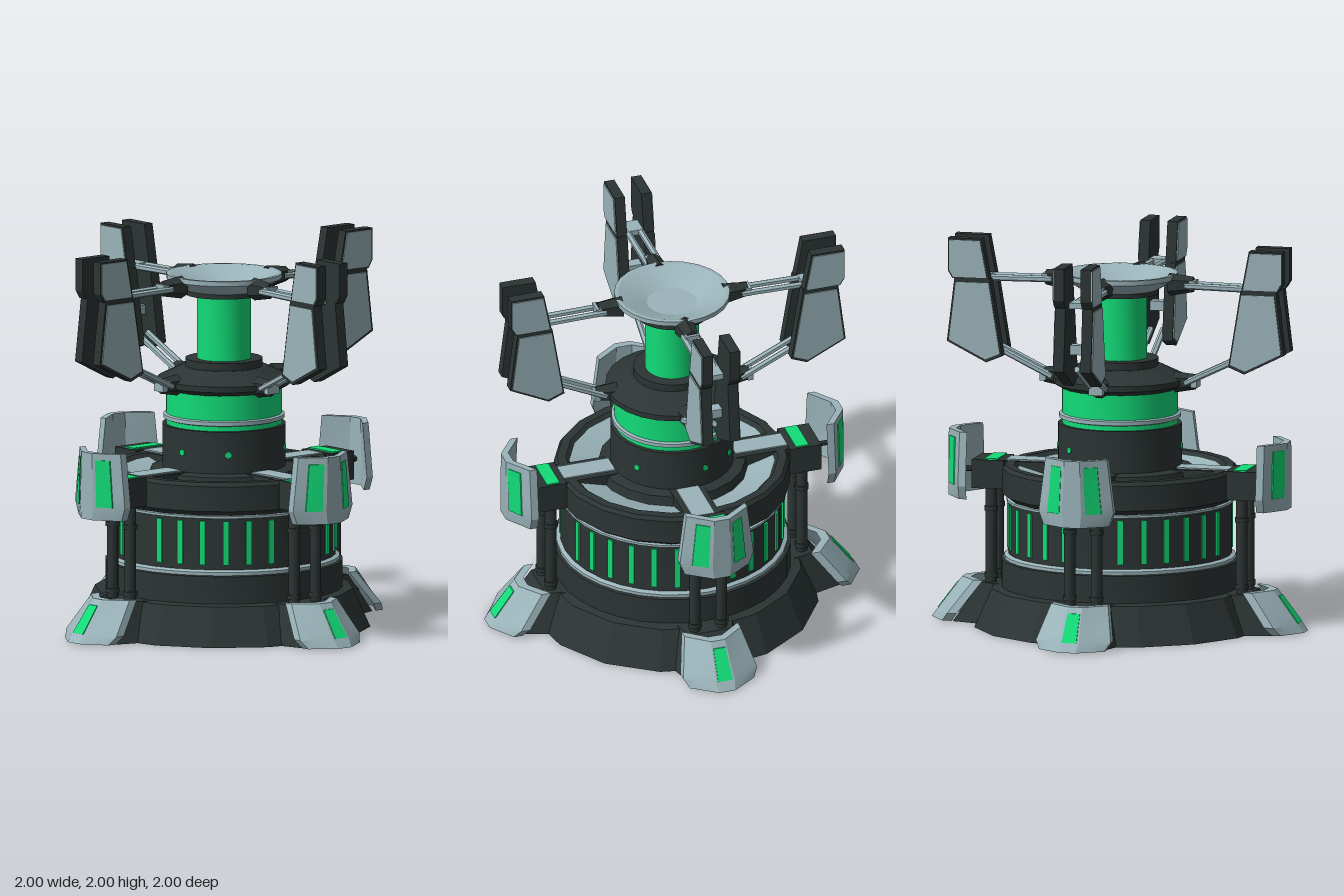
import * as THREE from 'three';
import { toCreasedNormals } from 'three/addons/utils/BufferGeometryUtils.js';

const material = (name, color) => {
  const m = new THREE.MeshStandardMaterial({ color });
  m.name = name;
  return m;
};

export function createModel() {
  const dark = material('dark metal', 0x2c3534);
  const light = material('pale metal', 0x9ab4ba);
  const green = material('green glow', 0x12dc78);
  const model = new THREE.Group();
  model.name = 'reactorTower';

  const add = (parent, name, geometry, mat) => {
    const mesh = new THREE.Mesh(geometry, mat);
    mesh.name = name;
    parent.add(mesh);
    return mesh;
  };
  const box = (parent, name, mat, size, pos) =>
    add(parent, name, new THREE.BoxGeometry(...size).translate(...pos), mat);
  // turned part from [radius, height] pairs, listed from bottom to top
  const turned = (name, mat, profile, sides = 32) => {
    const g = new THREE.LatheGeometry(profile.map(p => new THREE.Vector2(...p)), sides);
    return add(model, name, toCreasedNormals(g, 0.35), mat);
  };
  const rod = (parent, name, mat, a, b, r0, r1 = r0, sides = 6) => {
    const from = new THREE.Vector3(...a), to = new THREE.Vector3(...b);
    const dir = to.clone().sub(from);
    const g = toCreasedNormals(new THREE.CylinderGeometry(r1, r0, dir.length(), sides), 0.9);
    const mesh = add(parent, name, g, mat);
    mesh.position.copy(from).add(to).multiplyScalar(0.5);
    mesh.quaternion.setFromUnitVectors(new THREE.Vector3(0, 1, 0), dir.normalize());
    return mesh;
  };

  // central tower, bottom to top
  turned('base', dark, [[0, 0], [0.76, 0], [0.67, 0.2], [0.6, 0.21]], 16);
  turned('lowerDrum', dark, [[0.615, 0.2], [0.615, 0.35], [0.57, 0.36]]);
  turned('lowerTrim', light, [[0.6, 0.35], [0.6, 0.37], [0.57, 0.385]]);
  turned('slitDrum', dark, [[0.58, 0.36], [0.58, 0.66]]);
  turned('upperTrim', light, [[0.57, 0.645], [0.588, 0.65], [0.588, 0.662], [0.57, 0.665]]);
  turned('deckRim', dark, [[0.57, 0.66], [0.61, 0.69], [0.61, 0.82], [0.595, 0.84], [0.55, 0.84], [0.53, 0.82]], 20);
  turned('deckPanel', light, [[0.53, 0.82], [0.39, 0.78]], 20);
  turned('deckInner', dark, [[0.39, 0.78], [0.38, 0.83], [0.32, 0.84]], 20);
  turned('neck', dark, [[0.32, 0.76], [0.32, 1.06], [0.29, 1.06]]);
  turned('glowBand', green, [[0.3, 1.06], [0.3, 1.25]]);
  turned('glowBandRing', light, [[0.3, 1.085], [0.315, 1.09], [0.315, 1.11], [0.3, 1.115]]);
  turned('shoulder', dark, [[0, 1.245], [0.3, 1.245], [0.345, 1.27], [0.345, 1.3], [0.22, 1.36], [0, 1.36]], 24);
  turned('columnFoot', dark, [[0.2, 1.35], [0.2, 1.4], [0.13, 1.4]]);
  turned('glowColumn', green, [[0.14, 1.39], [0.14, 1.75]]);
  turned('columnCap', dark, [[0.13, 1.73], [0.2, 1.735], [0.2, 1.76]]);
  turned('dish', light, [[0.19, 1.755], [0.21, 1.765], [0.3, 1.82], [0.3, 1.845], [0.28, 1.845], [0.2, 1.815], [0.13, 1.785], [0, 1.785]], 24);

  // glowing slits round the drum
  for (let quadrant = 0; quadrant < 4; quadrant++) {
    for (let i = 0; i < 6; i++) {
      const slit = box(model, 'drumSlit', green, [0.03, 0.23, 0.009], [0, 0.52, 0.581]);
      slit.rotation.y = THREE.MathUtils.degToRad(quadrant * 90 + 15 + i * 12);
    }
  }
  // small round lamps on the neck
  for (const angle of [8, 54, 128, 195, 230]) {
    const g = new THREE.CylinderGeometry(0.017, 0.017, 0.009, 10).rotateX(Math.PI / 2).translate(0, 0.94, 0.321);
    add(model, 'neckLamp', g, green).rotation.y = THREE.MathUtils.degToRad(angle);
  }

  // folded shield plate: swept-back wings, tapered outline, leaning back by lean per unit height
  const shield = (parent, name, mat, s, [x0, x1], [v0, v1], depth, front, segs) => {
    const g = new THREE.BoxGeometry(x1 - x0, v1 - v0, depth, ...segs, 1);
    g.translate((x0 + x1) / 2, (v0 + v1) / 2, front - depth / 2);
    const p = g.attributes.position;
    for (let i = 0; i < p.count; i++) {
      const x = p.getX(i), v = p.getY(i);
      const scale = v < 0.2 ? 0.87 + 0.65 * v : 1 - (v - 0.2) * s.taper;
      const y = v * s.height;
      const back = Math.max(0, Math.abs(x) - 0.05) * s.sweep + y * s.lean;
      p.setXYZ(i, x * scale, s.y + y, s.r + p.getZ(i) - back);
    }
    return add(parent, name, toCreasedNormals(g, 0.3), mat);
  };
  const midShield = { y: 0.645, height: 0.35, r: 0.91, sweep: 0.6, lean: 0, taper: 0.22 };
  const footShield = { y: 0.005, height: 0.215, r: 1.0, sweep: 0.6, lean: 0.75, taper: 0.3 };

  // flat plate from [radius, height] outline, spanning x0 to x0 + thickness
  const fin = (parent, name, mat, outline, x0, thickness) => {
    const shape = new THREE.Shape(outline.map(p => new THREE.Vector2(...p)));
    const g = new THREE.ExtrudeGeometry(shape, { depth: thickness, bevelEnabled: false });
    return add(parent, name, g.rotateY(-Math.PI / 2).translate(x0 + thickness, 0, 0), mat);
  };
  const inset = (outline, d) => {
    const n = outline.length;
    const c = [0, 1].map(k => outline.reduce((sum, p) => sum + p[k], 0) / n);
    return outline.map(p => p.map((v, k) => c[k] + (v - c[k]) * d));
  };
  const upperFin = [[0.68, 1.79], [0.72, 2.0], [0.9, 2.0], [0.9, 1.83], [0.875, 1.79]];
  const lowerFin = [[0.61, 1.39], [0.675, 1.79], [0.865, 1.79], [0.905, 1.46], [0.695, 1.355]];

  // one arm, built facing +z
  const makeArm = () => {
    const arm = new THREE.Group();
    arm.name = 'arm';

    // buttress at the foot
    const foot = new THREE.BoxGeometry(0.4, 0.205, 0.3).translate(0, 0.1025, 0.71);
    const p = foot.attributes.position;
    for (let i = 0; i < p.count; i++) {
      const top = p.getY(i) > 0.1, outer = p.getZ(i) > 0.7;
      if (outer) p.setZ(i, top ? 0.72 : 0.86);
      p.setX(i, Math.sign(p.getX(i)) * (outer ? (top ? 0.12 : 0.15) : (top ? 0.16 : 0.24)));
    }
    add(arm, 'footButtress', toCreasedNormals(foot, 0.2), dark);
    shield(arm, 'footShield', light, footShield, [-0.2, 0.2], [0, 1], 0.05, 0, [8, 5]);
    shield(arm, 'footLamp', green, footShield, [-0.04, 0.04], [0.22, 0.86], 0.008, 0.006, [1, 1]);
    rod(arm, 'footShieldMount', dark, [0, 0.1, 0.74], [0, 0.1, 0.9], 0.015);

    // bracket, bridge to the neck, and shield
    box(arm, 'bracket', dark, [0.22, 0.15, 0.17], [0, 0.77, 0.685]);
    box(arm, 'bracketLamp', green, [0.2, 0.008, 0.07], [0, 0.848, 0.67]);
    box(arm, 'bridge', dark, [0.18, 0.08, 0.32], [0, 0.8, 0.46]);
    box(arm, 'bridgePlate', light, [0.12, 0.008, 0.28], [0, 0.843, 0.46]);
    rod(arm, 'shieldMount', dark, [0, 0.78, 0.75], [0, 0.78, 0.88], 0.015);
    shield(arm, 'midShield', light, midShield, [-0.2, 0.2], [0, 1], 0.04, 0, [8, 5]);

    for (const side of [-1, 1]) {
      const span = side < 0 ? [-0.145, -0.07] : [0.07, 0.145];
      shield(arm, 'shieldLamp', green, midShield, span, [0.2, 0.9], 0.008, 0.006, [1, 1]);

      // twin posts with collars
      const x = side * 0.072;
      rod(arm, 'post', dark, [x, 0.19, 0.675], [x, 0.71, 0.675], 0.03, 0.03, 12);
      for (const y of [0.24, 0.59]) {
        rod(arm, 'postCollar', dark, [x, y - 0.012, 0.675], [x, y + 0.012, 0.675], 0.037, 0.037, 12);
      }

      // twin fins with pale outer faces
      const start = side < 0 ? -0.1 : 0.045;
      for (const outline of [upperFin, lowerFin]) {
        fin(arm, 'finFrame', dark, outline, start, 0.055);
        fin(arm, 'finFace', light, inset(outline, 0.92), side < 0 ? -0.106 : 0.1, 0.006);
      }

      // struts from the tower to the fins
      const s = side * 0.034;
      rod(arm, 'upperStrut', light, [s, 1.795, 0.36], [s, 1.79, 0.7], 0.017);
      rod(arm, 'lowerStrut', light, [s, 1.285, 0.36], [s, 1.44, 0.68], 0.017);
    }

    // strut clamps and cross pieces
    rod(arm, 'upperClamp', dark, [0, 1.795, 0.27], [0, 1.8, 0.4], 0.06, 0.04);
    rod(arm, 'lowerClamp', dark, [0, 1.285, 0.3], [0, 1.29, 0.41], 0.055, 0.04);
    box(arm, 'upperClampTip', light, [0.075, 0.045, 0.03], [0, 1.8, 0.4]);
    box(arm, 'lowerClampTip', light, [0.075, 0.055, 0.03], [0, 1.29, 0.41]);
    box(arm, 'finCrossbar', light, [0.1, 0.05, 0.06], [0, 1.555, 0.74]);
    box(arm, 'finTopCrossbar', light, [0.1, 0.03, 0.1], [0, 1.79, 0.74]);
    return arm;
  };

  // four arms, each set slightly off the axis
  for (let i = 0; i < 4; i++) {
    const arm = makeArm();
    arm.rotation.y = i * Math.PI / 2;
    arm.translateX(-0.02);
    model.add(arm);
  }
  return model;
}
